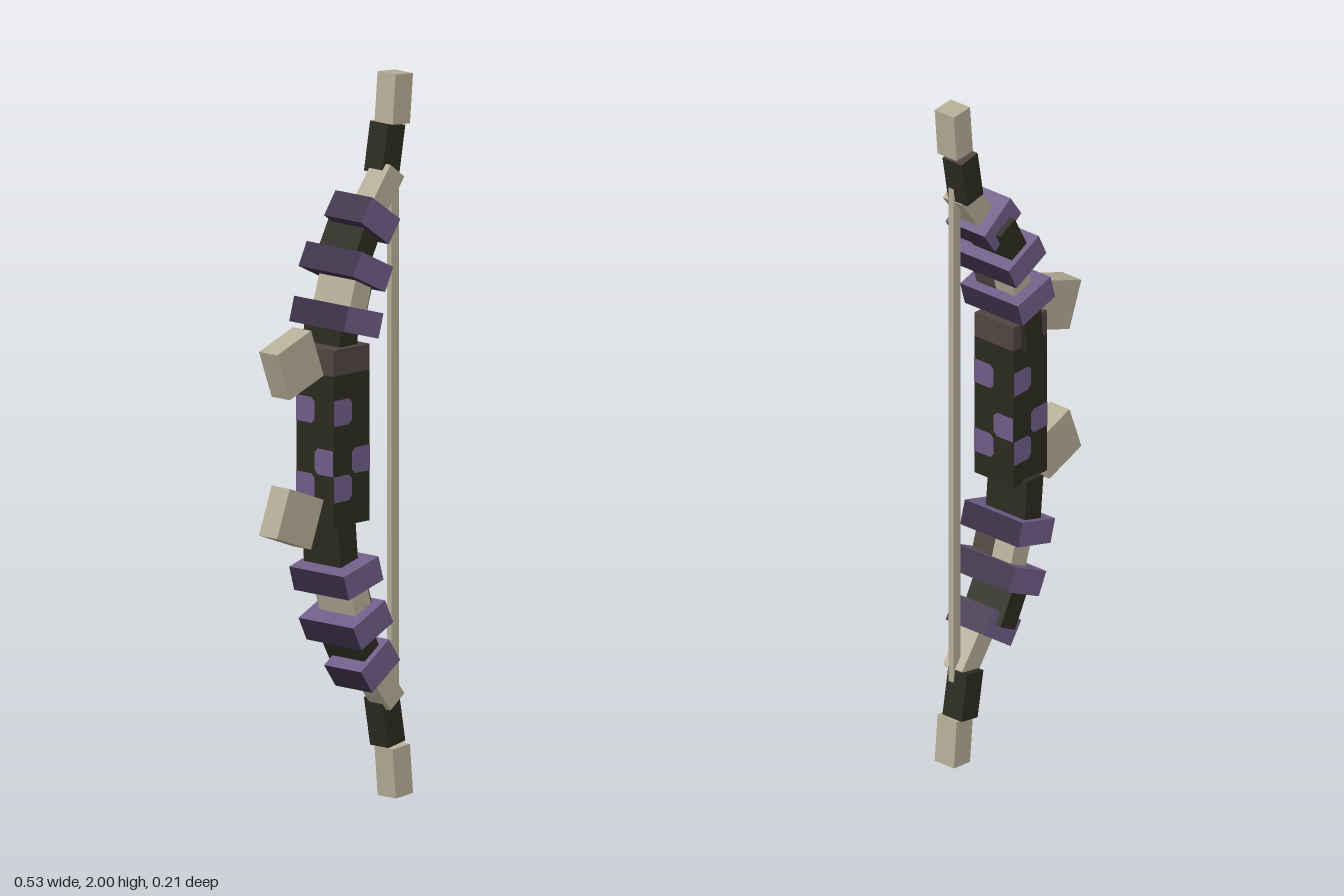
import * as THREE from 'three';

const mat = (name, color) => {
  const m = new THREE.MeshStandardMaterial({ color });
  m.name = name;
  return m;
};

export function createModel() {
  const bone = mat('bone', 0xb4ad97);
  const dark = mat('darkWood', 0x2c2b20);
  const purple = mat('purple', 0x6f5d87);
  const shadePurple = mat('deepPurple', 0x3b3049);
  const brown = mat('brown', 0x504641);
  const bow = new THREE.Group();
  bow.name = 'bow';

  const box = (name, material, size, pos, deg = 0, parent = bow) => {
    const mesh = new THREE.Mesh(new THREE.BoxGeometry(...size), material);
    mesh.name = name;
    mesh.position.set(...pos);
    mesh.rotation.z = THREE.MathUtils.degToRad(deg);
    parent.add(mesh);
    return mesh;
  };

  // Bands are deep purple on both ends and underneath
  const band = [shadePurple, shadePurple, purple, shadePurple, purple, purple];

  // Limb pieces, from the handle outwards: name, material, size, position, tilt
  const limb = [
    ['innerLimb', dark, [0.067, 0.14, 0.14], [-0.005, 1.268, -0.018], -5],
    ['innerBand', band, [0.139, 0.07, 0.208], [0.002, 1.354, 0], -16],
    ['boneLimb', bone, [0.067, 0.14, 0.138], [0.026, 1.415, 0], -17],
    ['middleBand', band, [0.137, 0.072, 0.208], [0.039, 1.489, 0], -26],
    ['darkLimb', dark, [0.067, 0.14, 0.14], [0.07, 1.551, -0.018], -28],
    ['outerBand', band, [0.132, 0.077, 0.14], [0.102, 1.616, 0], -35],
    ['outerLimb', bone, [0.067, 0.15, 0.069], [0.158, 1.675, 0], -37],
    ['tipJoint', dark, [0.067, 0.137, 0.069], [0.207, 1.79, -0.018], -10],
    ['tip', bone, [0.067, 0.138, 0.069], [0.224, 1.93, 0], -5],
  ];
  for (const side of [1, -1]) {
    const group = new THREE.Group();
    group.name = side > 0 ? 'upperLimb' : 'lowerLimb';
    bow.add(group);
    for (const [name, material, size, [x, y, z], tilt] of limb) {
      // The upper tip joint carries a brown top face
      const m = name === 'tipJoint' && side > 0 ? [dark, dark, brown, dark, dark, dark] : material;
      const part = box(name, m, size, [x, 1 + side * (y - 1), z], side * tilt, group);
      // Brown stain on the front half of the string side
      if (name === 'boneLimb') box('stain', brown, [0.004, 0.139, 0.069], [0.0335, 0, 0.0345], 0, part);
    }
  }

  // Handle with a brown cap
  const cx = -0.011, w = 0.138, d = 0.14;
  box('handle', dark, [w, 0.417, d], [cx, 1.0025, 0]);
  box('handleCap', brown, [w, 0.072, d], [cx, 1.247, 0]);

  // Purple patches repeated on the four sides of the handle, inner corners clipped
  const patches = [[-1, 1.108], [1, 0.969], [-1, 0.897]];
  const h = 0.036, cut = 0.012;
  for (let i = 0; i < 4; i++) {
    const face = new THREE.Group();
    face.name = 'handlePatches';
    face.position.x = cx;
    face.rotation.y = i * Math.PI / 2;
    bow.add(face);
    const width = (i % 2 ? d : w) / 2;
    const out = (i % 2 ? w : d) / 2;
    for (const [s, y] of patches) {
      const outline = [[1, -h], [1, h], [cut / width, h], [0, h - cut], [0, cut - h], [cut / width, -h]];
      const shape = new THREE.Shape(outline.map(([u, v]) => new THREE.Vector2(s * u * width, v)));
      const patch = new THREE.Mesh(new THREE.ShapeGeometry(shape), purple);
      patch.name = 'patch';
      patch.position.set(0, y, out + 0.002);
      face.add(patch);
    }
  }

  // Slanted guard blocks beside the grip
  box('upperGuard', bone, [0.14, 0.14, 0.069], [-0.172, 1.251, 0], 20.5);
  box('lowerGuard', bone, [0.14, 0.14, 0.069], [-0.172, 0.825, 0], -20.5);

  // Bowstring
  box('string', bone, [0.029, 1.51, 0.018], [0.221, 1.002, 0]);
  return bow;
}
